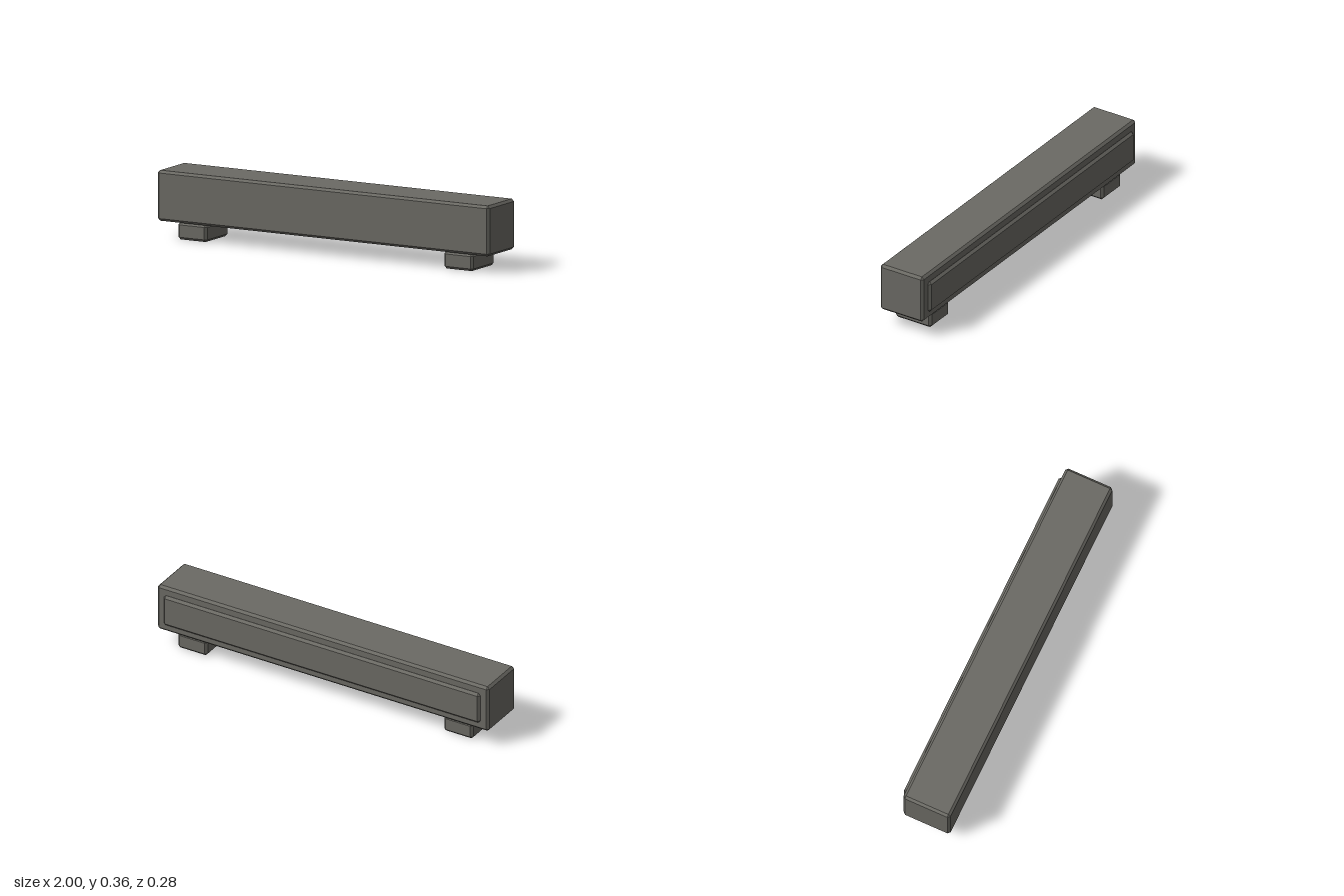
import * as THREE from 'three';
import { ConvexGeometry } from 'three/addons/geometries/ConvexGeometry.js';

const BEVEL = 0.013;

// Box between two corners with every edge and corner chamfered
function chamferBox(name, min, max, material) {
  const half = min.map((v, i) => (max[i] - v) / 2);
  const points = [];
  for (const sx of [-1, 1]) for (const sy of [-1, 1]) for (const sz of [-1, 1]) {
    for (let face = 0; face < 3; face++) {
      const inset = half.map((h, i) => (i === face ? h : h - BEVEL));
      points.push(new THREE.Vector3(sx * inset[0], sy * inset[1], sz * inset[2]));
    }
  }
  const mesh = new THREE.Mesh(new ConvexGeometry(points), material);
  mesh.name = name;
  mesh.position.set(...min.map((v, i) => (v + max[i]) / 2));
  return mesh;
}

export function createModel() {
  const group = new THREE.Group();
  group.name = 'bar';
  const grey = new THREE.MeshStandardMaterial({ color: 0x6b6a64 });
  grey.name = 'warm grey';

  // Long main body
  group.add(chamferBox('body', [-1, 0.091, -0.124], [1, 0.356, 0.143], grey));

  // Raised panel on the back
  group.add(chamferBox('backPanel', [-0.955, 0.135, -0.142], [0.955, 0.312, -0.115], grey));

  // Pair of feet
  for (const [name, x] of [['leftFoot', 0.802], ['rightFoot', -0.802]]) {
    group.add(chamferBox(name, [x - 0.088, 0, -0.102], [x + 0.088, 0.091, 0.121], grey));
  }
  return group;
}
